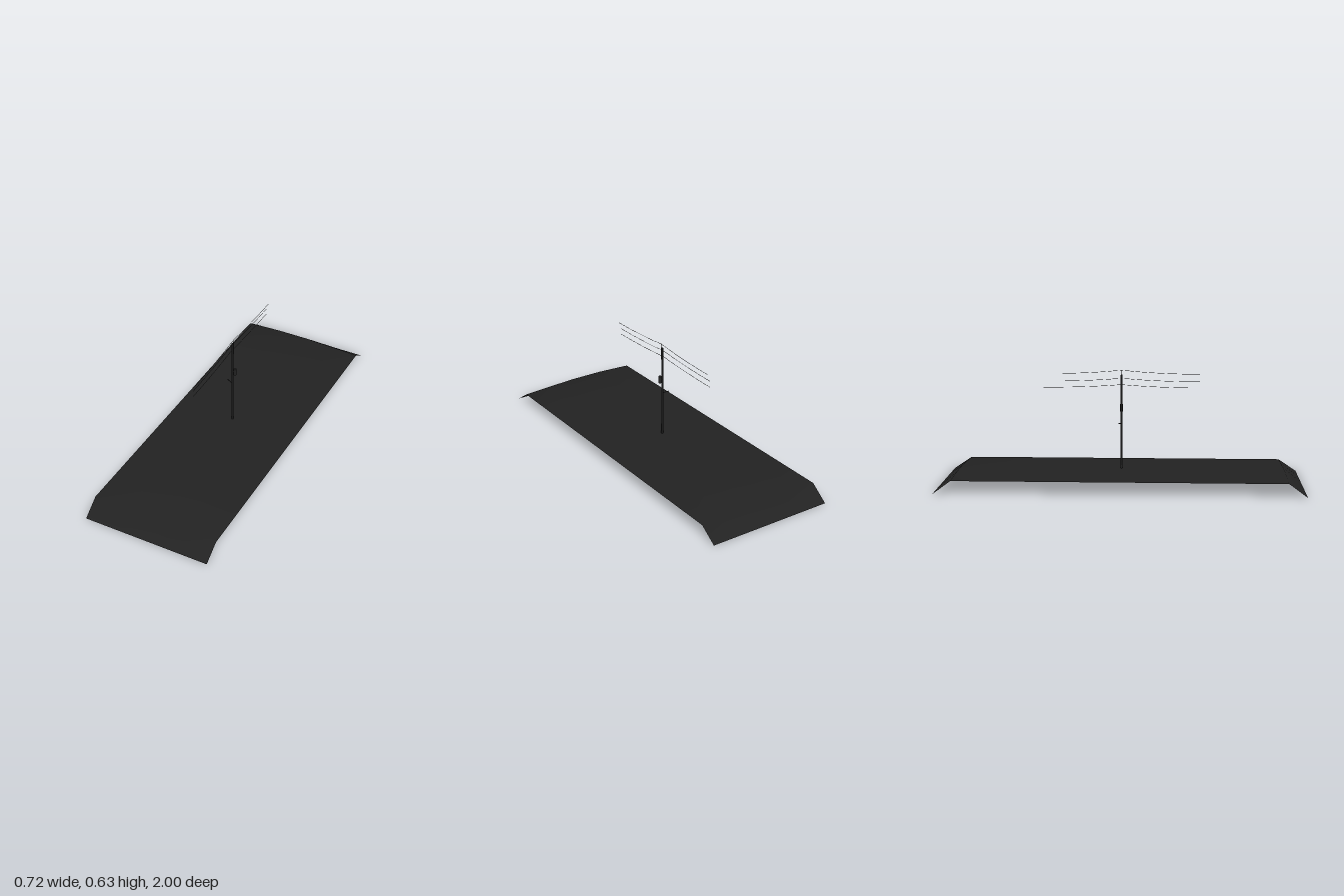
import * as THREE from 'three';

const tar = new THREE.MeshStandardMaterial({ color: 0x222222, side: THREE.DoubleSide });
tar.name = 'asphalt black';
const dark = new THREE.MeshStandardMaterial({ color: 0x222222 });
dark.name = 'pole black';

function add(group, name, geometry, material, x = 0, y = 0, z = 0) {
  const mesh = new THREE.Mesh(geometry, material);
  mesh.name = name;
  mesh.position.set(x, y, z);
  group.add(mesh);
  return mesh;
}

// Cambered road sheet whose two ends bend down to the ground
function roadGeometry() {
  const camber = [[-0.36, 0.074], [-0.16, 0.083], [0.04, 0.083], [0.2, 0.0755], [0.36, 0.067]];
  const rows = [-1, -0.9, -0.6, 0.6, 0.9, 1];
  const geometry = new THREE.PlaneGeometry(1, 1, camber.length - 1, rows.length - 1).rotateX(-Math.PI / 2);
  const position = geometry.attributes.position;
  rows.forEach((z, r) => camber.forEach(([x, y], c) => {
    position.setXYZ(r * camber.length + c, x, Math.abs(z) === 1 ? 0 : y, z);
  }));
  geometry.computeVertexNormals();
  return geometry;
}

// Wire that is highest at the pole and sags toward both free ends
function wireGeometry(x, top, sag) {
  const half = 0.43;
  const points = [];
  for (let i = -6; i <= 6; i++) {
    const t = Math.abs(i) / 6;
    points.push(new THREE.Vector3(x, top - sag * (1 - (1 - t) ** 2), (i / 6) * half));
  }
  return new THREE.TubeGeometry(new THREE.CatmullRomCurve3(points), 24, 0.001, 5);
}

export function createModel() {
  const model = new THREE.Group();
  model.name = 'roadWithUtilityPole';
  add(model, 'road', roadGeometry(), tar);

  // Pole, passing a little below the road
  const poleX = -0.0165;
  const pole = new THREE.Group();
  pole.name = 'utilityPole';
  model.add(pole);
  add(pole, 'poleShaft', new THREE.CylinderGeometry(0.0053, 0.006, 0.561, 8), dark, poleX, 0.3255, 0);

  // Wire rack and top pin
  add(pole, 'wireRack', new THREE.BoxGeometry(0.004, 0.066, 0.005), dark, -0.0098, 0.573, 0);
  add(pole, 'topPin', new THREE.CylinderGeometry(0.0013, 0.0013, 0.03, 6), dark, -0.01, 0.617, 0);

  // Transformer can and its bracket
  add(pole, 'transformer', new THREE.CylinderGeometry(0.0085, 0.0085, 0.04, 12), dark, 0, 0.42, 0);
  add(pole, 'transformerBracket', new THREE.BoxGeometry(0.006, 0.004, 0.004), dark, -0.01, 0.42, 0);

  // Street lamp arm and head
  const arm = new THREE.LineCurve3(new THREE.Vector3(poleX, 0.334, 0), new THREE.Vector3(-0.052, 0.3405, -0.013));
  add(pole, 'lampArm', new THREE.TubeGeometry(arm, 1, 0.002, 6), dark);
  const head = add(pole, 'lampHead', new THREE.BoxGeometry(0.014, 0.004, 0.005), dark, -0.046, 0.339, -0.011);
  head.rotation.set(0, -0.35, -0.18);

  // Three overhead wires
  [[-0.01, 0.63, 0.02], [-0.0235, 0.587, 0.017], [-0.0235, 0.552, 0.016]].forEach(([x, y, sag], i) => {
    add(model, `wire${i + 1}`, wireGeometry(x, y, sag), dark);
  });
  return model;
}
